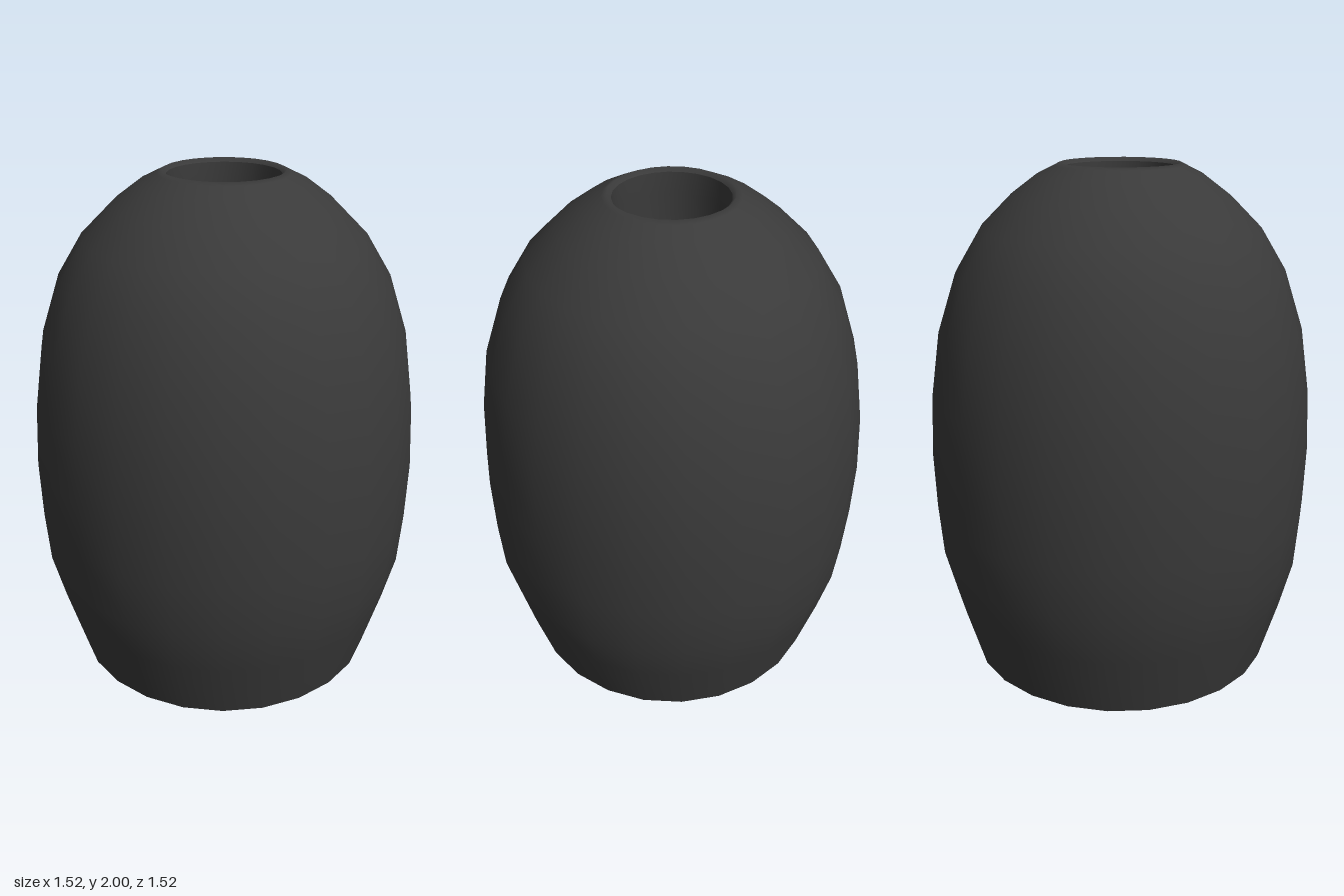
import * as THREE from 'three';

const SIDES = 24;

// Turns [radius, height] pairs into a lathe profile
const profile = (pairs) => pairs.map(([r, y]) => new THREE.Vector2(r, y));

export function createModel() {
  const group = new THREE.Group();
  const material = new THREE.MeshStandardMaterial({ color: 0x3a3a3a, side: THREE.DoubleSide });

  const add = (name, pairs) => {
    const mesh = new THREE.Mesh(new THREE.LatheGeometry(profile(pairs), SIDES), material);
    mesh.name = name;
    group.add(mesh);
  };

  // Thin hollow shell, open underneath, rounding over at the shoulder to the rim
  add('shell', [
    [0.61, 0], [0.685, 0.25], [0.735, 0.44], [0.752, 0.65], [0.76, 0.88],
    [0.748, 1.12], [0.712, 1.37], [0.637, 1.6], [0.54, 1.76], [0.42, 1.88],
    [0.32, 1.955], [0.25, 1.99], [0.23, 2], [0.215, 1.985],
  ]);

  // Straight-walled socket sunk into the top, with a gently dished floor
  add('topSocket', [
    [0.215, 1.985], [0.21, 1.9], [0.21, 1.7], [0.2, 1.66], [0.12, 1.63], [0, 1.62],
  ]);

  return group;
}
